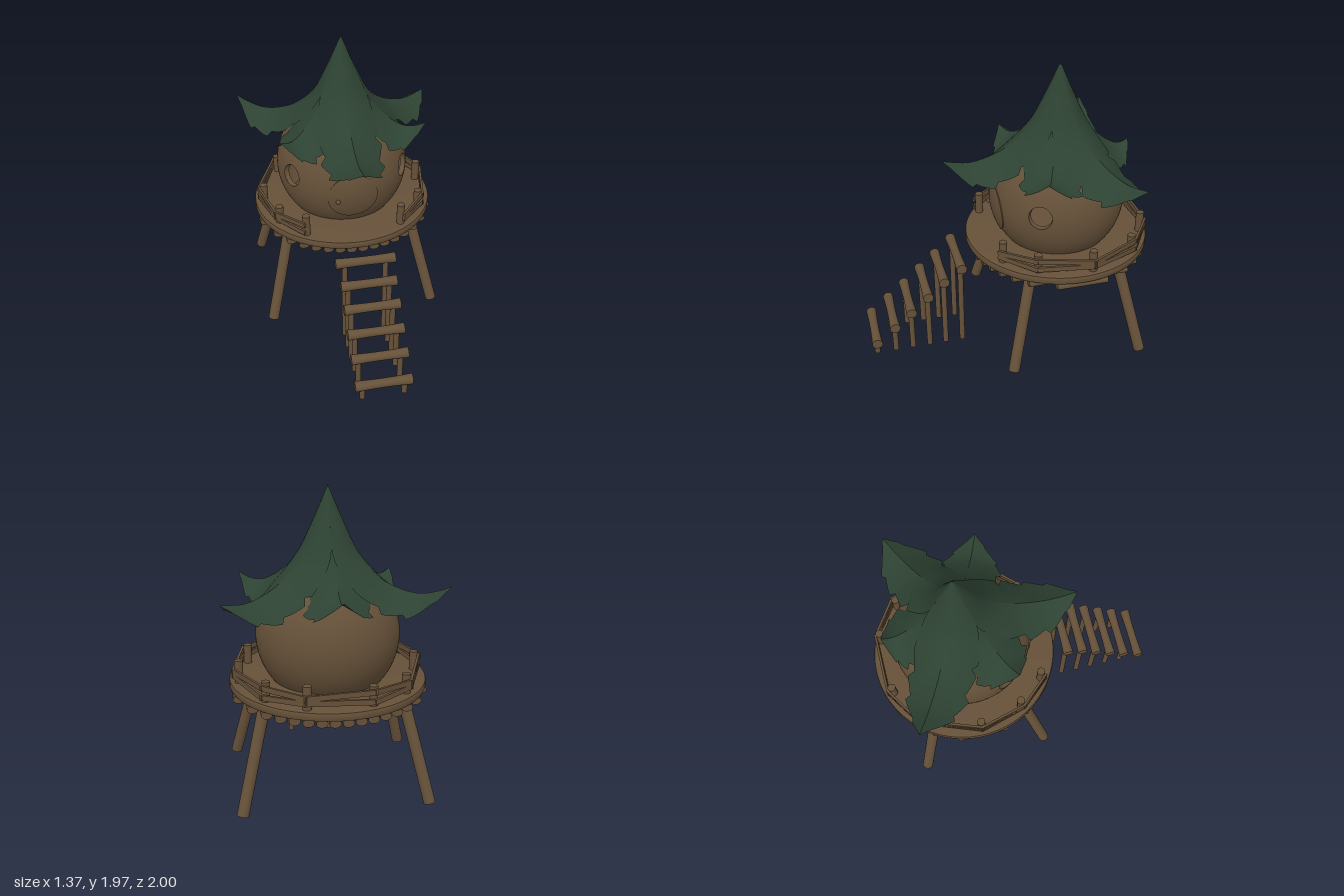
import * as THREE from 'three';
import { toCreasedNormals } from 'three/addons/utils/BufferGeometryUtils.js';

const V = (x, y, z) => new THREE.Vector3(x, y, z);
const UP = V(0, 1, 0);
const CZ = -0.365; // z of the hut's axis

// Surface from a rule f(u, v) -> Vector3, facing du x dv
function grid(nu, nv, f) {
  const pos = [], idx = [];
  for (let i = 0; i <= nu; i++)
    for (let j = 0; j <= nv; j++) pos.push(...f(i / nu, j / nv, i).toArray());
  for (let i = 0; i < nu; i++)
    for (let j = 0; j < nv; j++) {
      const a = i * (nv + 1) + j, b = a + nv + 1;
      idx.push(a, b, b + 1, a, b + 1, a + 1);
    }
  const g = new THREE.BufferGeometry();
  g.setAttribute('position', new THREE.Float32BufferAttribute(pos, 3));
  g.setIndex(idx);
  g.computeVertexNormals();
  return g;
}

export function createModel() {
  const wood = new THREE.MeshStandardMaterial({ color: 0x665139, side: THREE.DoubleSide });
  wood.name = 'brownWood';
  const green = new THREE.MeshStandardMaterial({ color: 0x2d4232, side: THREE.DoubleSide });
  green.name = 'darkGreenLeaf';
  const model = new THREE.Group();
  model.name = 'leafRoofedHut';

  const add = (name, geo, mat = wood) => {
    const m = new THREE.Mesh(geo, mat);
    m.name = name;
    model.add(m);
    return m;
  };
  // Round log between two points
  const log = (name, a, b, r, r2 = r) => {
    const m = add(name, new THREE.CylinderGeometry(r2, r, a.distanceTo(b), 20));
    m.position.copy(a).lerp(b, 0.5);
    m.quaternion.setFromUnitVectors(UP, b.clone().sub(a).normalize());
    return m;
  };

  // Round deck with softened edge
  const disc = new THREE.Shape().absarc(0, 0, 0.623, 0, Math.PI * 2);
  const deck = add('deck', toCreasedNormals(new THREE.ExtrudeGeometry(disc, {
    depth: 0.031, bevelThickness: 0.012, bevelSize: 0.012, bevelSegments: 2, curveSegments: 64,
  }), 0.6));
  deck.rotation.x = -Math.PI / 2;
  deck.position.set(0, 0.702, CZ);

  // Flattened logs under the deck, running front to back
  for (let i = 0; i < 16; i++) {
    const x = -0.585 + i * 0.078;
    const half = Math.sqrt(0.61 ** 2 - x * x);
    const beam = log('deckBeam', V(x, 0.667, CZ - half), V(x, 0.667, CZ + half), 0.027);
    beam.scale.x = 1.3;
  }

  // Splayed legs
  for (const sx of [-1, 1])
    for (const sz of [-1, 1])
      log('leg', V(sx * 0.59, 0.012, CZ + sz * 0.455), V(sx * 0.435, 0.67, CZ + sz * 0.305), 0.038);

  // Stair rungs on stilts, thinner in the middle
  const steps = [[0.965, 0.12], [0.835, 0.23], [0.715, 0.335], [0.595, 0.445], [0.48, 0.55], [0.36, 0.65]];
  steps.forEach(([z, y], i) => {
    const len = i === 5 ? 0.41 : 0.38;
    const g = new THREE.CylinderGeometry(0.036, 0.036, len, 20, 6);
    const p = g.attributes.position;
    for (let k = 0; k < p.count; k++) {
      const s = 0.84 + 0.16 * (2 * p.getY(k) / len) ** 2;
      p.setX(k, p.getX(k) * s);
      p.setZ(k, p.getZ(k) * s);
    }
    const rung = add('stairRung', g);
    rung.rotation.z = Math.PI / 2;
    rung.position.set(0.028, y, z);
    for (const x of [-0.113, 0.168]) log('stairStilt', V(x, 0.015, z), V(x, y, z), 0.019);
  });

  // Railing: posts with two boards along their outer side
  const posts = [
    [0.33, 0.1], [0.5, -0.09], [0.575, -0.44], [0.43, -0.76], [0.2, -0.915],
    [-0.195, -0.905], [-0.43, -0.75], [-0.57, -0.365], [-0.49, -0.07], [-0.33, 0.11],
  ];
  posts.forEach(([x, z], i) => {
    const top = i % 9 === 0 || i === 2 || i === 4 ? 0.892 : 0.87;
    log('railPost', V(x, 0.735, z), V(x, top, z), 0.027);
    if (i === posts.length - 1) return;
    const outer = ([px, pz], y) => {
      const d = V(px, 0, pz - CZ);
      d.setLength(d.length() + 0.035);
      return V(d.x, y, d.z + CZ);
    };
    [0.83, 0.785].forEach((y, k) => {
      const tilt = ((i + k) % 2 ? 1 : -1) * 0.008;
      const a = outer([x, z], y + tilt), b = outer(posts[i + 1], y - tilt);
      const rail = add('railBoard', new THREE.BoxGeometry(0.016, 0.034, a.distanceTo(b) + 0.02));
      rail.position.copy(a).lerp(b, 0.5);
      rail.lookAt(b);
    });
  });

  // Hollow ball with a round window in each half; each half is spun around its window
  const R = 0.46, centre = V(0, 1.03, CZ), hole = 0.172;
  const w = V(0.385, 0.04, 0.23).normalize();
  const a = V().crossVectors(UP, w).normalize(), b = V().crossVectors(w, a);
  const ray = (theta, phi) => w.clone().multiplyScalar(Math.cos(theta))
    .addScaledVector(a, Math.sin(theta) * Math.cos(phi))
    .addScaledVector(b, Math.sin(theta) * Math.sin(phi));
  for (const side of [1, -1]) {
    const place = (d, r) => {
      const p = V(d.x * side, d.y, d.z).multiplyScalar(r).add(centre);
      p.y = Math.max(p.y, 0.7);
      return p;
    };
    const shell = grid(28, 72, (u, v) => {
      const phi = v * Math.PI * 2 * side;
      const end = Math.atan2(w.x, -(a.x * Math.cos(phi) + b.x * Math.sin(phi)));
      return place(ray(hole + (end - hole) * u, phi), R);
    });
    const p = shell.attributes.position, n = V();
    for (let i = 0; i < p.count; i++) {
      n.fromBufferAttribute(p, i).sub(centre).normalize();
      shell.attributes.normal.setXYZ(i, n.x, n.y, n.z);
    }
    add('hutShell', shell);
    add('windowRim', grid(1, 40, (u, v) =>
      place(ray(hole, v * Math.PI * 2 * side), R - 0.035 * (1 - u))));
  }

  // Round door following the curve of the wall, with rim and knob
  const door = new THREE.Group();
  door.name = 'door';
  const cap = 0.378;
  const panel = add('doorPanel', new THREE.SphereGeometry(R + 0.007, 48, 12, 0, Math.PI * 2, 0, cap));
  const edge = add('doorEdge', new THREE.CylinderGeometry(
    (R + 0.007) * Math.sin(cap), (R - 0.012) * Math.sin(cap), 0.019 * Math.cos(cap), 48, 1, true));
  edge.position.y = (R - 0.0025) * Math.cos(cap);
  door.add(panel, edge);
  door.position.copy(centre);
  door.rotation.x = Math.PI / 2 + 0.11;
  model.add(door);
  const knob = add('doorKnob', new THREE.SphereGeometry(0.016, 16, 12));
  knob.position.set(-0.105, 0.96, CZ + 0.455);

  // Leaf sections: ridge radius, ridge height, half width, inward curl, edge droop
  const bigLeaf = [
    [0, 1.97, 0, 0, 0], [0.1, 1.74, 0.09, 0.05, 0], [0.2, 1.55, 0.17, 0.09, 0.01],
    [0.34, 1.42, 0.21, 0.07, 0.06], [0.48, 1.355, 0.21, 0.03, 0.12],
    [0.62, 1.33, 0.16, 0, 0.1], [0.785, 1.36, 0, 0, 0],
  ];
  const smallLeaf = [
    [0, 1.95, 0, 0, 0], [0.09, 1.73, 0.08, 0.04, 0], [0.185, 1.55, 0.14, 0.06, 0.01],
    [0.29, 1.43, 0.2, 0.05, 0.05], [0.4, 1.355, 0.21, 0.01, 0.11],
    [0.48, 1.34, 0.14, 0, 0.09], [0.56, 1.365, 0, 0, 0],
  ];
  const sample = (rows, t, k) => {
    const i = Math.min(Math.floor(t * 6), 5), f = t * 6 - i;
    const at = (j) => rows[Math.max(0, Math.min(6, j))][k];
    const [p0, p1, p2, p3] = [at(i - 1), at(i), at(i + 1), at(i + 2)];
    return p1 + 0.5 * f * (p2 - p0 + f * (2 * p0 - 5 * p1 + 4 * p2 - p3 + f * (3 * (p1 - p2) + p3 - p0)));
  };
  const leaf = (name, rows, dx, dz, stretch, lift) => {
    const g = new THREE.Group();
    g.name = name;
    for (const start of [-1, 0]) {
      const half = grid(36, 6, (t, v, row) => {
        const s = start + v, e = Math.abs(s);
        // Torn, toothed margin on the outer half
        const tooth = t > 0.5 && t < 0.97 ? 1 - 0.17 * e * (((row + (start ? 2 : 0)) % 5) / 4) : 1;
        const [r, y, wide, curl, droop] = [0, 1, 2, 3, 4].map((k) => sample(rows, t, k));
        return V(s * Math.max(wide, 0) * tooth, y - droop * e * tooth + lift * t ** 5,
          (r - curl * s * s) * (1 + (stretch - 1) * t ** 3));
      });
      g.add(add('leafHalf', half, green));
    }
    g.position.z = CZ + 0.003;
    g.rotation.y = Math.atan2(dx, dz);
    model.add(g);
  };
  leaf('frontLeaf', bigLeaf, 0, 1, 1, 0);
  leaf('backLeftLeaf', bigLeaf, 0.68, -0.37, 0.99, -0.02);
  leaf('backRightLeaf', bigLeaf, -0.69, -0.39, 1.01, 0.05);
  leaf('smallFrontLeftLeaf', smallLeaf, 0.55, 0.23, 1.06, 0.025);
  leaf('smallFrontRightLeaf', smallLeaf, -0.46, 0.29, 0.97, 0);
  leaf('smallBackLeaf', smallLeaf, -0.02, -0.5, 0.91, 0);

  return model;
}
